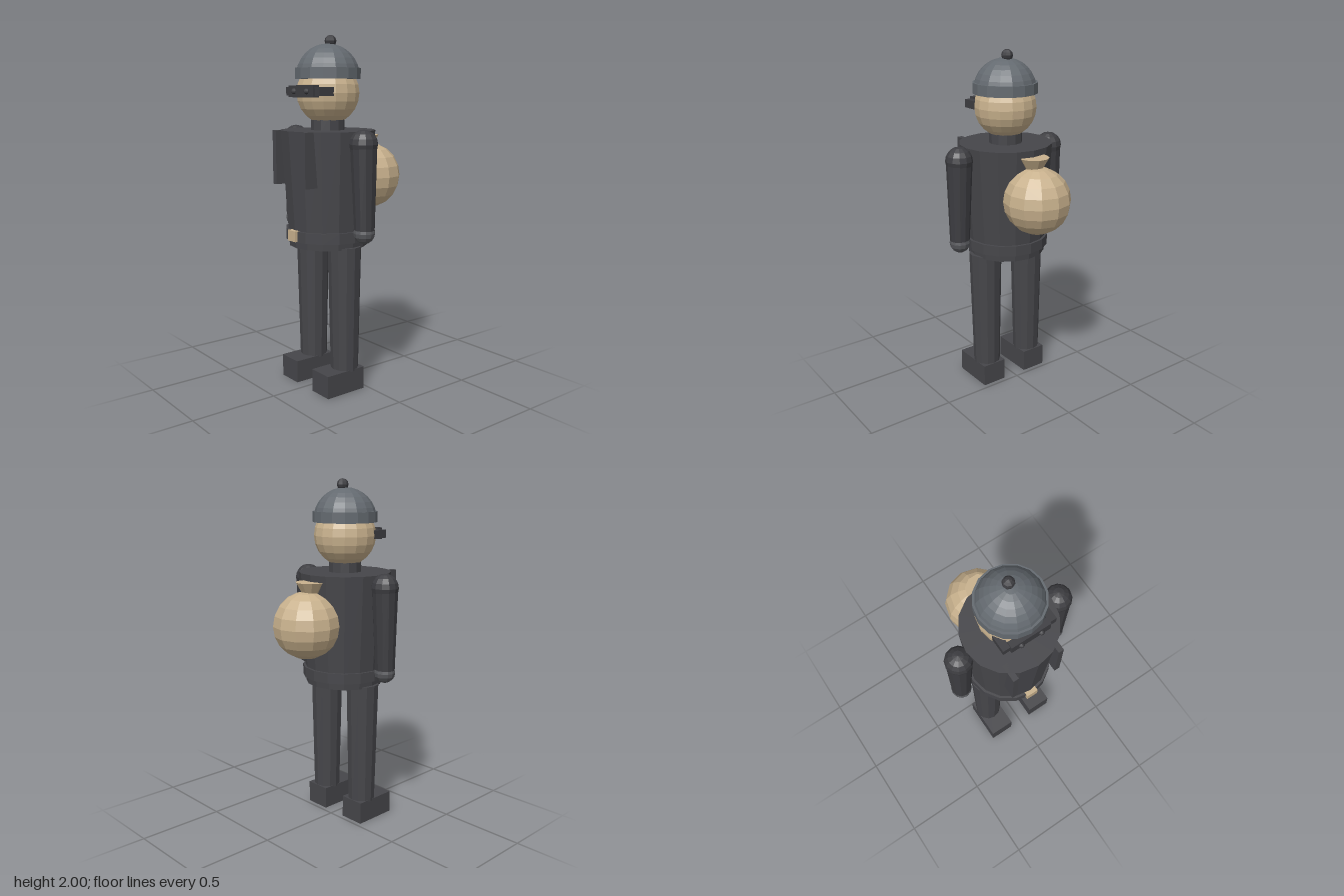
import * as THREE from 'three';

const mat = (name, color) => {
  const m = new THREE.MeshStandardMaterial({ color, flatShading: true });
  m.name = name;
  return m;
};

export function createModel() {
  const root = new THREE.Group();
  root.name = 'burglarFigure';
  const cloth = mat('charcoal cloth', 0x46464a);
  const dark = mat('dark cloth', 0x3d3d41);
  const grey = mat('hat grey', 0x646a70);
  const glove = mat('glove grey', 0x58595d);
  const tan = mat('tan', 0xc8b18d);
  const CZ = 0.11; // depth of the body axis

  const add = (name, geo, material, x, y, z) => {
    const m = new THREE.Mesh(geo, material);
    m.name = name;
    m.position.set(x, y, z);
    root.add(m);
    return m;
  };
  const box = (w, h, d) => new THREE.BoxGeometry(w, h, d);
  const ball = (r, a = 12, b = 8) => new THREE.SphereGeometry(r, a, b);
  const tube = (top, bottom, h, n = 16) => new THREE.CylinderGeometry(top, bottom, h, n);

  // Body
  add('torso', tube(0.267, 0.225, 0.65), cloth, 0, 1.155, CZ);
  add('belt', tube(0.245, 0.245, 0.06), cloth, 0, 0.9, CZ);
  add('buckle', box(0.07, 0.06, 0.03), tan, 0, 0.903, 0.35);
  add('neck', tube(0.095, 0.095, 0.1, 12), cloth, 0, 1.52, CZ);

  // Head and mask
  add('head', ball(0.177, 16, 12), tan, 0, 1.685, CZ);
  add('maskBand', box(0.23, 0.065, 0.04), dark, 0, 1.693, 0.275);

  // Hat
  add('hatDome', new THREE.SphereGeometry(0.18, 16, 8, 0, Math.PI * 2, 0, Math.PI / 2), grey, 0, 1.772, CZ);
  add('hatBrim', tube(0.184, 0.184, 0.06), grey, 0, 1.79, CZ);
  add('pompom', ball(0.033, 8, 6), dark, 0, 1.967, 0.09);

  // Mirrored parts
  for (const [s, side] of [[1, 'left'], [-1, 'right']]) {
    add(side + 'MaskSide', box(0.042, 0.046, 0.098), dark, s * 0.135, 1.692, 0.234);
    add(side + 'Eye', ball(0.016, 8, 6), dark, s * 0.059, 1.693, 0.297);
    add(side + 'Strap', box(0.032, 0.3, 0.1), cloth, s * 0.139, 1.33, 0.328);

    add(side + 'Shoulder', ball(0.078), dark, s * 0.314, 1.417, CZ);
    const arm = add(side + 'Arm', tube(0.074, 0.056, 0.48, 12), dark, s * 0.319, 1.18, CZ);
    arm.rotation.z = s * 0.02;
    add(side + 'Hand', ball(0.06), glove, s * 0.323, 0.94, CZ);

    add(side + 'Leg', tube(0.095, 0.079, 0.72, 12), cloth, s * 0.15, 0.48, CZ);
    add(side + 'Shoe', box(0.15, 0.13, 0.257), cloth, s * 0.15, 0.065, 0.156);
  }

  // Loot sack on the back
  add('sack', ball(0.19, 12, 10), tan, 0, 1.203, -0.187);
  add('sackNeck', tube(0.085, 0.05, 0.06, 10), tan, 0, 1.413, -0.157).rotation.y = Math.PI / 2;

  return root;
}
